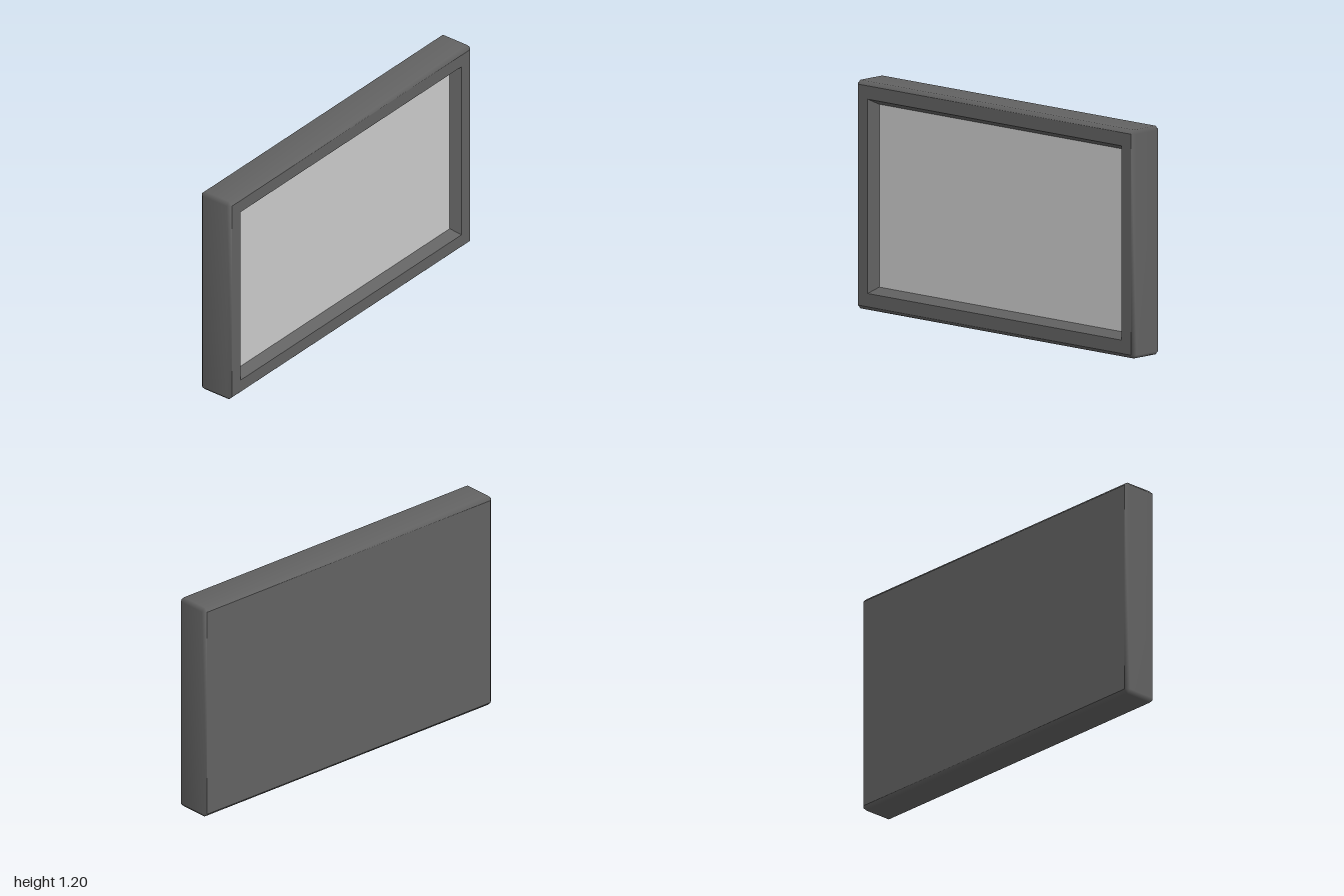
import * as THREE from 'three';
import { mergeVertices } from 'three/addons/utils/BufferGeometryUtils.js';

const HEIGHT = 1.2, MID = HEIGHT / 2, HALF_DEPTH = 0.1, BEVEL = 0.02, RECESS = 0.055;

// Rectangular ring, anticlockwise seen from the front, with corners cut by c
function ring(hw, hh, z, c = 0) {
  return [
    [hw, -hh + c], [hw, hh - c], [hw - c, hh], [-hw + c, hh],
    [-hw, hh - c], [-hw, -hh + c], [-hw + c, -hh], [hw - c, -hh],
  ].map(([x, y]) => new THREE.Vector3(x, y + MID, z));
}

// Skin a series of rings, leaving out collapsed triangles
function loft(rings, smooth) {
  const points = [];
  const triangle = (a, b, c) => {
    if (a.distanceTo(b) > 1e-6 && b.distanceTo(c) > 1e-6 && c.distanceTo(a) > 1e-6) points.push(a, b, c);
  };
  for (let k = 0; k < rings.length - 1; k++) {
    const p = rings[k], q = rings[k + 1];
    for (let i = 0; i < p.length; i++) {
      const j = (i + 1) % p.length;
      triangle(p[i], p[j], q[j]);
      triangle(p[i], q[j], q[i]);
    }
  }
  let geometry = new THREE.BufferGeometry().setFromPoints(points);
  if (smooth) geometry = mergeVertices(geometry);
  geometry.computeVertexNormals();
  return geometry;
}

export function createModel() {
  const group = new THREE.Group();
  group.name = 'framedScreen';
  const dark = new THREE.MeshStandardMaterial({ color: 0x626262 });
  const grey = new THREE.MeshStandardMaterial({ color: 0xcccccc });
  const add = (name, geometry, material) => {
    const mesh = new THREE.Mesh(geometry, material);
    mesh.name = name;
    group.add(mesh);
    return mesh;
  };

  // Outer sides with softly shaded bevels
  const faceW = 1 - BEVEL, faceH = MID - BEVEL, sideZ = HALF_DEPTH - BEVEL;
  add('casingSides', loft([
    ring(faceW, faceH, -HALF_DEPTH),
    ring(1, MID, -sideZ, BEVEL),
    ring(1, MID, sideZ, BEVEL),
    ring(faceW, faceH, HALF_DEPTH),
  ], true), dark);

  // Flat border around the opening
  const lip = ring(0.91, 0.51, HALF_DEPTH);
  add('frontBorder', loft([ring(faceW, faceH, HALF_DEPTH), lip], false), dark);

  // Sloping walls down to the screen
  const screenW = 0.88, screenH = 0.48, screenZ = HALF_DEPTH - RECESS;
  add('recessWalls', loft([lip, ring(screenW, screenH, screenZ)], false), dark);

  // Screen panel
  add('screen', new THREE.PlaneGeometry(screenW * 2, screenH * 2), grey).position.set(0, MID, screenZ);

  // Plain back
  const back = add('backPanel', new THREE.PlaneGeometry(faceW * 2, faceH * 2), dark);
  back.position.set(0, MID, -HALF_DEPTH);
  back.rotation.y = Math.PI;

  return group;
}
